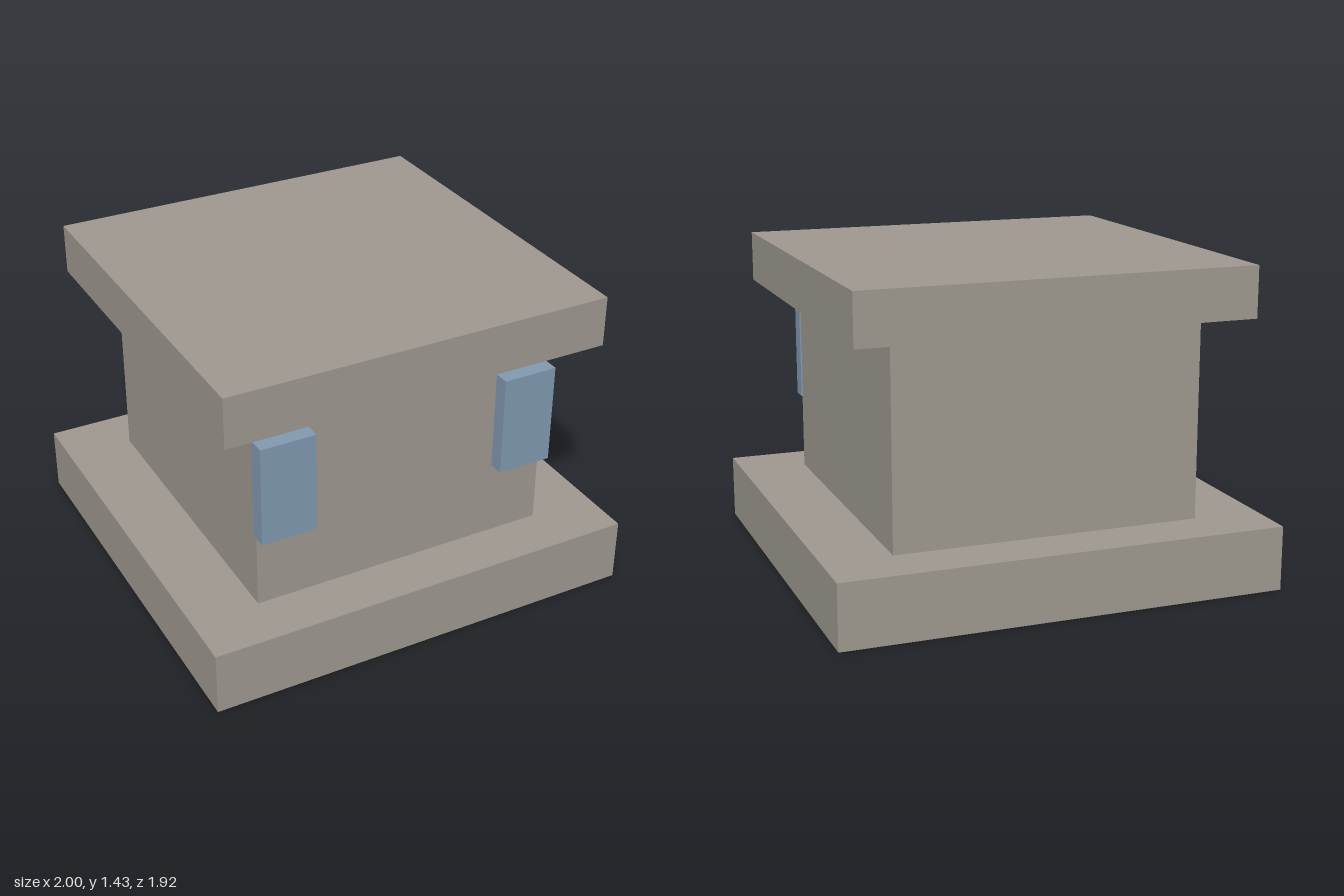
import * as THREE from 'three';

export function createModel() {
  const model = new THREE.Group();
  model.name = 'pedestalBuilding';

  const stone = new THREE.MeshStandardMaterial({ color: 0x9e988f });
  stone.name = 'warm grey stone';
  const glass = new THREE.MeshStandardMaterial({ color: 0x8099b0 });
  glass.name = 'dusty blue';

  // Box centred on x, spanning bottom to top in y
  function addBlock(name, material, width, depth, bottom, top, x = 0, z = 0) {
    const geometry = new THREE.BoxGeometry(width, top - bottom, depth);
    const mesh = new THREE.Mesh(geometry, material);
    mesh.name = name;
    mesh.position.set(x, (bottom + top) / 2, z);
    model.add(mesh);
  }

  // Wide plinth, narrower body and overhanging cap
  addBlock('base', stone, 2, 1.92, 0, 0.29);
  addBlock('body', stone, 1.39, 1.446, 0.29, 1.197);
  addBlock('cap', stone, 1.772, 1.73, 1.197, 1.426);

  // Pair of raised panels at the front corners
  for (const [side, name] of [[1, 'leftPanel'], [-1, 'rightPanel']]) {
    addBlock(name, glass, 0.252, 0.08, 0.638, 1.098, side * 0.576, 0.752);
  }

  return model;
}
